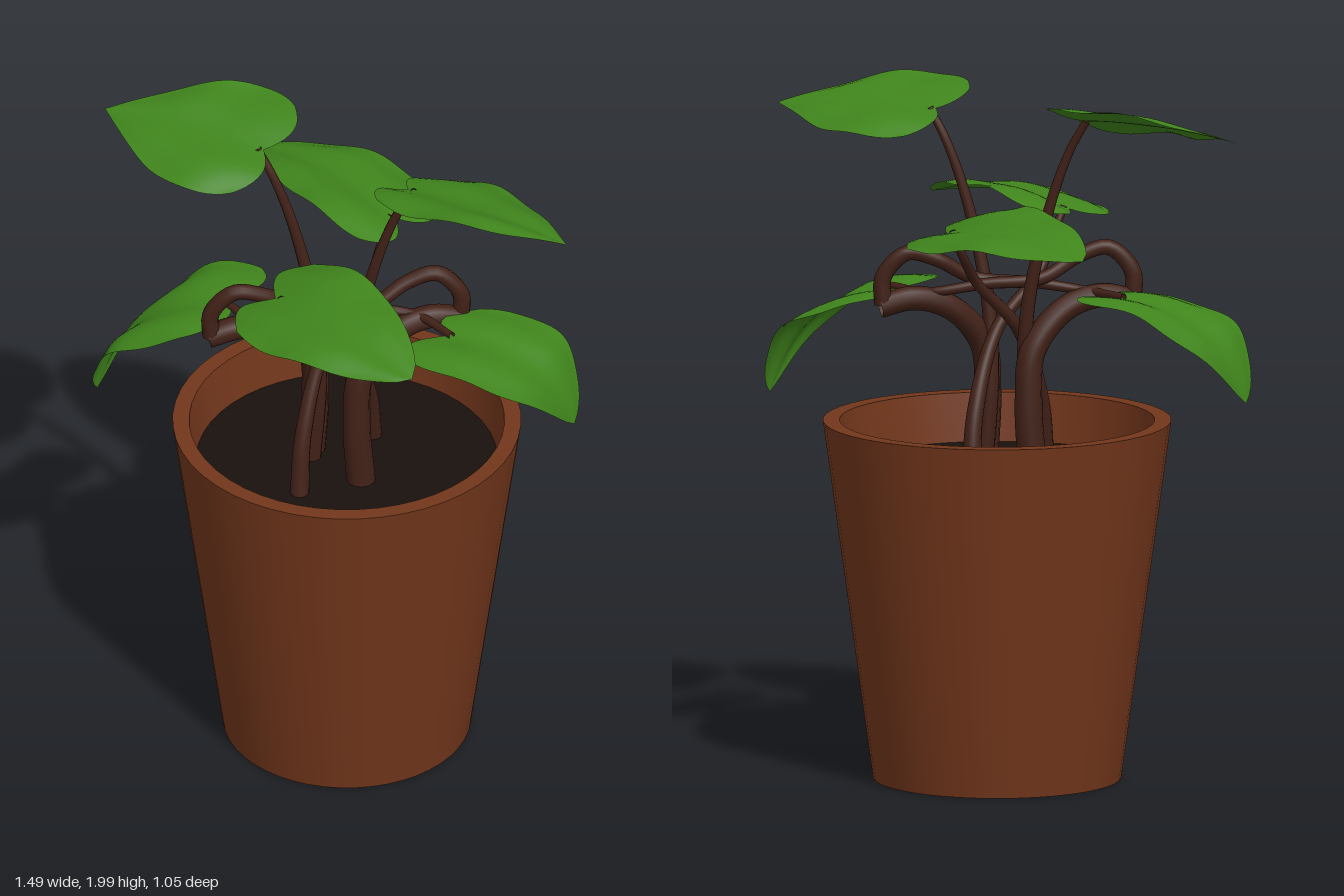
import * as THREE from 'three';
import { toCreasedNormals } from 'three/addons/utils/BufferGeometryUtils.js';

const mat = (color, side = THREE.FrontSide) => new THREE.MeshStandardMaterial({ color, side });
const clay = mat(0x72361b);
const earth = mat(0x18110c);
const bark = mat(0x412117, THREE.DoubleSide);
const green = mat(0x40851c, THREE.DoubleSide);
const vec = (p) => new THREE.Vector3(...p);

function part(name, geometry, material) {
  const mesh = new THREE.Mesh(geometry, material);
  mesh.name = name;
  return mesh;
}

// Round stem through points, tapering from radius r0 to r1
function stem(name, points, r0, r1) {
  const path = new THREE.CatmullRomCurve3(points.map(vec));
  const rings = 48, sides = 12;
  const geo = new THREE.TubeGeometry(path, rings, 1, sides);
  const pos = geo.attributes.position, p = new THREE.Vector3();
  for (let i = 0; i < pos.count; i++) {
    const t = Math.floor(i / (sides + 1)) / rings;
    const c = path.getPointAt(t);
    p.fromBufferAttribute(pos, i).sub(c).multiplyScalar(r0 + (r1 - r0) * t).add(c);
    pos.setXYZ(i, p.x, p.y, p.z);
  }
  return part(name, geo, bark);
}

// Heart-shaped leaf: base notch to tip, half-width vector, arch of the midrib,
// lobe length, and taper of the outline (smaller is fuller)
function leaf(name, base, tip, side, arch, lobe, taper) {
  const b = vec(base), chord = vec(tip).sub(b), s = vec(side);
  const up = new THREE.Vector3().crossVectors(chord, s).normalize();
  if (up.y < 0) up.negate();
  const geo = new THREE.PlaneGeometry(2, 1, 20, 24);
  const pos = geo.attributes.position, p = new THREE.Vector3();
  for (let i = 0; i < pos.count; i++) {
    const v = pos.getX(i), u = pos.getY(i) + 0.5, a = Math.abs(v);
    const outline = Math.sin(Math.PI * Math.pow(0.2 + 0.8 * u, 0.75));
    const width = Math.pow(Math.max(outline, 0), taper);
    const along = u - lobe * Math.sin(Math.PI * a) * Math.pow(1 - u, 4);
    const lift = 4 * arch * along * (1 - along)
      + width * (0.014 * Math.sin(Math.PI * a) ** 2 + 0.008 * a * Math.sin(12 * u + 2 * v));
    p.copy(b).addScaledVector(chord, along).addScaledVector(s, v * width).addScaledVector(up, lift);
    pos.setXYZ(i, p.x, p.y, p.z);
  }
  geo.computeVertexNormals();
  return part(name, geo, green);
}

// One half of the plant: three stems, each with its leaf
function plantHalf(name) {
  const half = new THREE.Group();
  half.name = name;
  half.add(
    // tall stem and top leaf
    stem('tallStem', [[0.08, 0.88, 0], [0.06, 1.15, 0.01], [0.07, 1.35, 0.02],
      [0.11, 1.55, 0.02], [0.155, 1.72, 0.01], [0.2, 1.84, 0], [0.25, 1.925, 0]], 0.028, 0.011),
    leaf('topLeaf', [0.23, 1.925, 0], [0.745, 1.9, 0.02], [-0.03, 0.065, 0.2], 0.015, 0.09, 1),
    // leaning stem, rooted on the far side, and middle leaf
    stem('leaningStem', [[0.03, 0.88, -0.18], [0.04, 1.08, -0.13], [0.03, 1.3, -0.01],
      [-0.04, 1.45, 0.12], [-0.04, 1.54, 0.21], [-0.05, 1.62, 0.26]], 0.028, 0.011),
    leaf('middleLeaf', [-0.07, 1.615, 0.255], [0.45, 1.6, 0.43], [-0.045, -0.035, 0.192], 0.04, 0.12, 0.6),
    // thick trunk that bends outward, loops back and crosses over to the low leaf
    stem('trunk', [[0.1, 0.88, 0.04], [0.085, 1.1, 0.04], [0.09, 1.25, 0.02],
      [0.15, 1.36, -0.06], [0.23, 1.395, -0.14], [0.31, 1.375, -0.2]], 0.042, 0.034),
    stem('loopingStem', [[0.3, 1.38, -0.2], [0.3, 1.46, -0.2], [0.24, 1.53, -0.17], [0.17, 1.51, -0.12],
      [0.09, 1.45, -0.04], [-0.05, 1.435, 0.04], [-0.2, 1.41, 0.11], [-0.34, 1.41, 0.06]], 0.026, 0.011),
    leaf('lowLeaf', [0.32, 1.405, -0.06], [0.655, 1.1, -0.215], [0.025, -0.02, -0.215], 0.09, 0.1, 0.8),
  );
  return half;
}

export function createModel() {
  const model = new THREE.Group();
  model.name = 'pottedPlant';

  // Tapered pot with an open, flat rim
  const pot = new THREE.Group();
  pot.name = 'pot';
  pot.position.set(0.02, 0, -0.03);
  const profile = [[0, 0], [0.356, 0], [0.5, 1.04], [0.452, 1.04], [0.43, 0.88]]
    .map(([x, y]) => new THREE.Vector2(x, y));
  pot.add(part('potWall', toCreasedNormals(new THREE.LatheGeometry(profile, 48), 0.7), clay));
  const soil = part('soil', new THREE.CircleGeometry(0.436, 48), earth);
  soil.rotation.x = -Math.PI / 2;
  soil.position.y = 0.9;
  pot.add(soil);

  // The two halves repeat by a half turn
  const right = plantHalf('plantHalf'), left = plantHalf('oppositePlantHalf');
  left.rotation.y = Math.PI;
  model.add(pot, right, left);
  return model;
}
